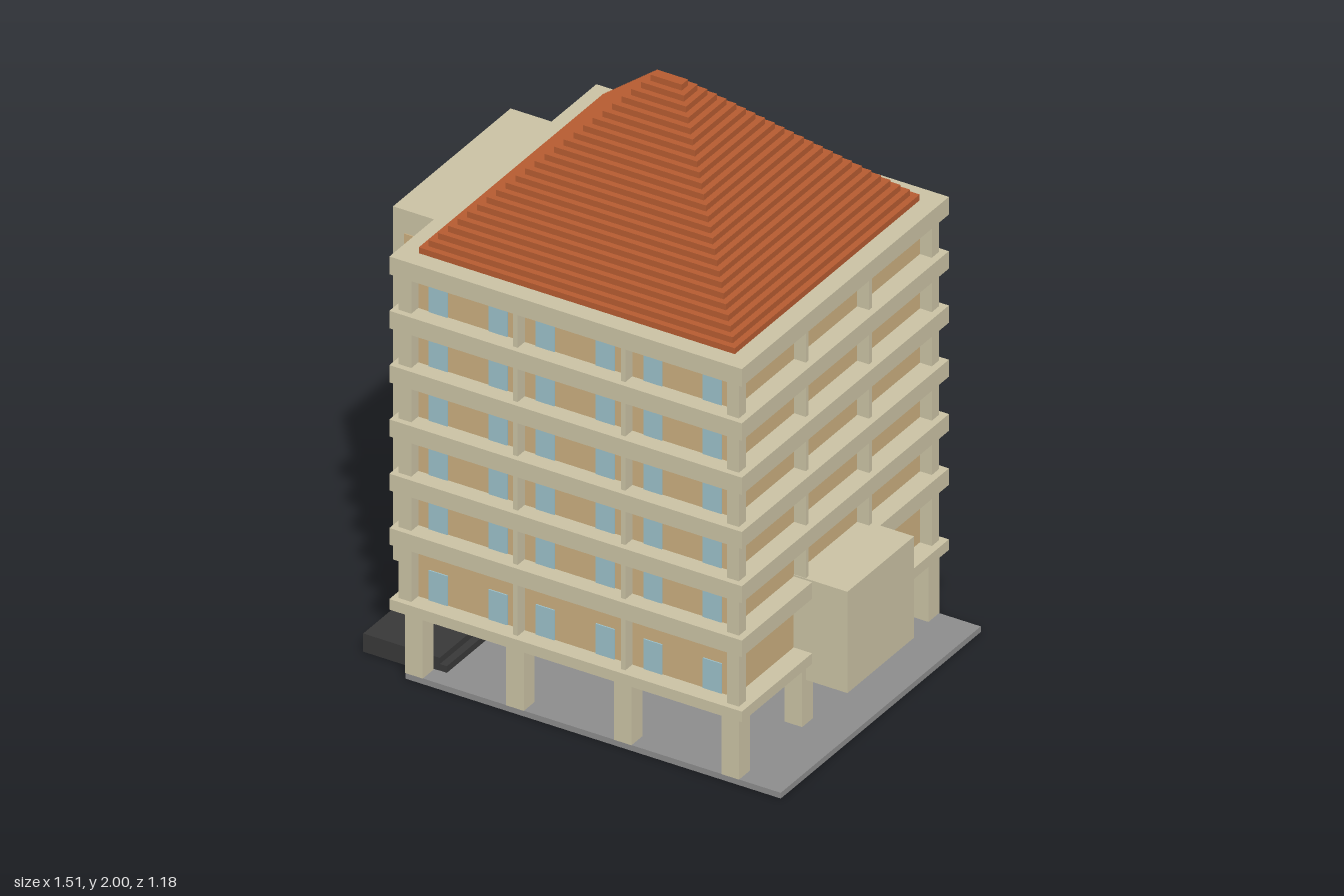
import * as THREE from 'three';

export function createModel() {
  const model = new THREE.Group();
  model.name = 'apartmentBlock';

  const mat = (name, color) => {
    const m = new THREE.MeshStandardMaterial({ color });
    m.name = name;
    return m;
  };
  const concrete = mat('beigeConcrete', 0xc9c1a3);
  const plaster = mat('tanPlaster', 0xc9ad7e);
  const glass = mat('blueGlass', 0x9abfc8);
  const tile = mat('terracotta', 0xb55b30);
  const paving = mat('greyPaving', 0x8c8c8c);
  const stone = mat('darkStone', 0x383838);

  // Box given by its minimum and maximum on each axis
  const box = (name, m, x0, x1, y0, y1, z0, z1) => {
    const mesh = new THREE.Mesh(new THREE.BoxGeometry(x1 - x0, y1 - y0, z1 - z0), m);
    mesh.position.set((x0 + x1) / 2, (y0 + y1) / 2, (z0 + z1) / 2);
    mesh.name = name;
    model.add(mesh);
    return mesh;
  };

  // Ground plate and side steps
  box('groundPlate', paving, -0.57, 0.755, 0, 0.02, -0.57, 0.57);
  box('lowerStep', stone, -0.76, -0.465, 0.002, 0.043, -0.504, 0.504);
  box('middleStep', stone, -0.76, -0.49, 0.001, 0.065, -0.505, 0.505);
  box('upperStep', stone, -0.76, -0.57, 0, 0.105, -0.31, 0.31);

  // Columns under the raised building
  for (const x of [-0.54, -0.183, 0.197, 0.577])
    for (const z of [-0.54, -0.18, 0.18, 0.54])
      box('column', concrete, x - 0.031, x + 0.031, 0.02, 0.24, z - 0.031, z + 0.031);

  // Wall core
  box('walls', plaster, -0.55, 0.565, 0.25, 1.45, -0.53, 0.53);

  // Balcony bands: a thin floor at the bottom, deeper bands above
  const bandTop = [0.275];
  const bandBottom = [0.238];
  for (let i = 0; i < 6; i++) {
    bandTop.push(0.524 + i * 0.1903);
    bandBottom.push(0.466 + i * 0.1895);
  }
  bandTop.forEach((top, i) =>
    box('balconyBand', concrete, -0.615, 0.63, bandBottom[i], top, -0.59, 0.59));

  const windowX = [-0.478, -0.267, -0.1, 0.112, 0.28, 0.49];
  for (let f = 0; f < 6; f++) {
    const y0 = bandTop[f], y1 = bandBottom[f + 1];
    box('ceilingBeam', concrete, -0.562, 0.577, y1 - 0.02, y1, -0.542, 0.542);

    for (const s of [-1, 1]) {
      // Corner posts and dividing fins on front and back
      const zr = s > 0 ? [0.53, 0.57] : [-0.57, -0.53];
      box('cornerPost', concrete, -0.595, -0.55, y0, y1, ...zr);
      box('cornerPost', concrete, 0.565, 0.607, y0, y1, ...zr);
      for (const x of [-0.182, 0.198])
        box('balconyFin', concrete, x - 0.008, x + 0.008, y0, y1, ...zr);

      // Fins on the sides
      box('sideFin', concrete, 0.565, 0.607, y0, y1, s * 0.18 - 0.008, s * 0.18 + 0.008);

      // Tall windows
      const top = f === 0 ? 0.38 : y1 - 0.022;
      for (const x of windowX)
        box('window', glass, x - 0.033, x + 0.033, y0, top, s * 0.531 - 0.003, s * 0.531 + 0.003);

      // Recess panels and slot windows on the stair tower
      box('towerPanel', plaster, -0.72, -0.56, y0, y1 - 0.02, s * 0.335 - 0.003, s * 0.335 + 0.003);
      box('towerWindow', glass, -0.7, -0.635, y1 - 0.063, y1 - 0.04, s * 0.337 - 0.004, s * 0.337 + 0.004);
    }
  }

  // Stair tower with a raised rim around its outer face
  box('stairTower', concrete, -0.73, -0.56, 0.237, 1.475, -0.335, 0.335);
  box('towerRimTop', concrete, -0.76, -0.73, 1.435, 1.475, -0.335, 0.335);
  box('towerRimBottom', concrete, -0.76, -0.73, 0.237, 0.277, -0.335, 0.335);
  for (const s of [-1, 1])
    box('towerRimSide', concrete, -0.76, -0.73, 0.277, 1.435, s * 0.315 - 0.02, s * 0.315 + 0.02);

  // Projecting entrance box
  box('entranceBox', concrete, 0.44, 0.755, 0.175, 0.53, -0.19, 0.19);

  // Stepped pyramid roof
  const steps = 25, rise = (2 - 1.475) / steps;
  for (let i = 0; i < steps; i++) {
    const t = i / (steps - 1);
    const hx = THREE.MathUtils.lerp(0.558, 0.055, t);
    const hz = THREE.MathUtils.lerp(0.527, 0.018, t);
    const y = 1.475 + i * rise;
    box('roofStep', tile, 0.008 - hx, 0.008 + hx, y, y + rise, -hz, hz);
  }
  return model;
}
